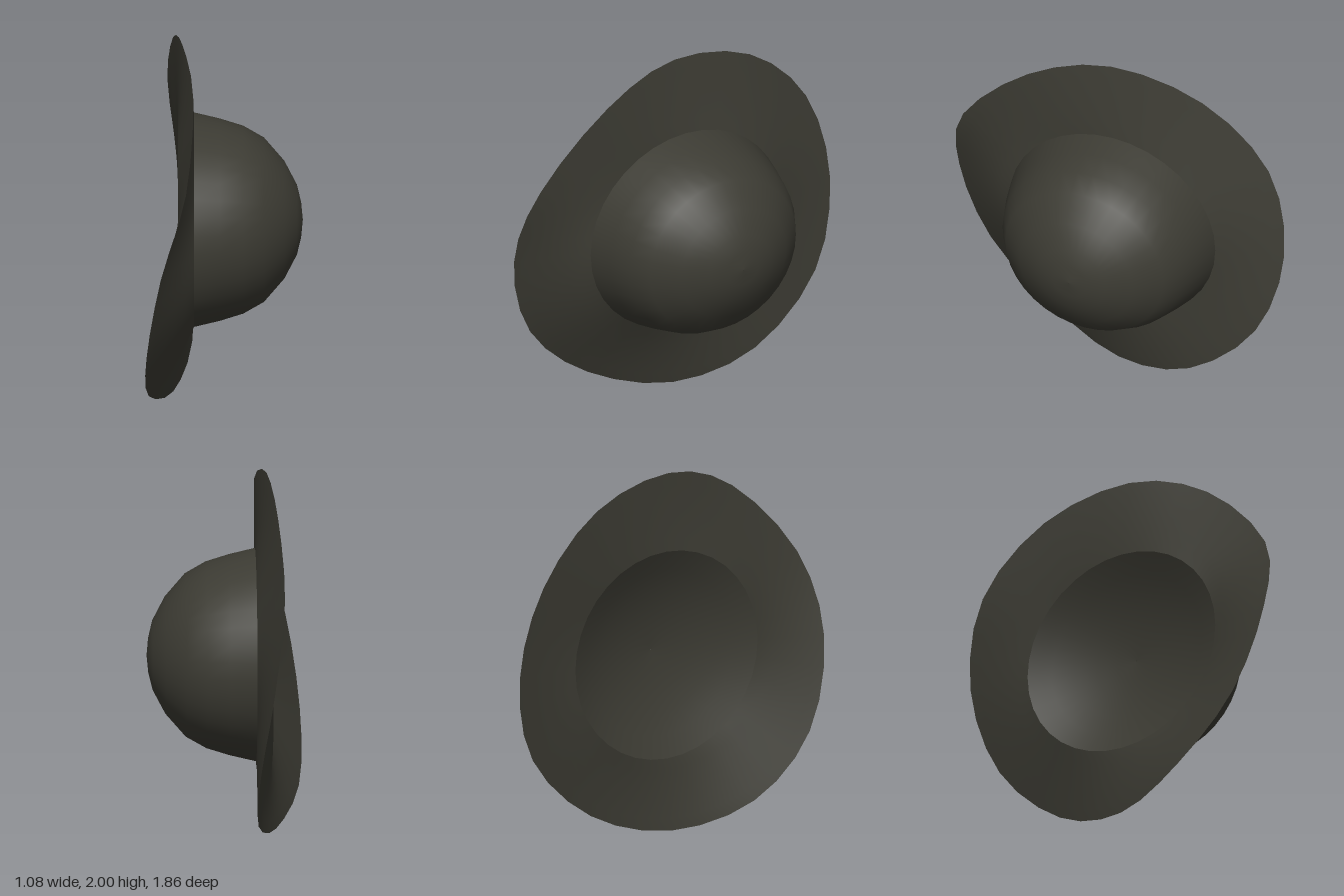
import * as THREE from 'three';

const SIDES = 36;
const centre = new THREE.Vector3(-0.045, 0.985, -0.06); // middle of the crown's base
const across = new THREE.Vector3(0.387, 0, 0.922);
const axis = new THREE.Vector3(0.922, 0, -0.387); // from the opening to the top of the crown
const BASE = 0.613;
const BASE_HEIGHT = -0.012;
const OPENING_HEIGHT = -0.1;

// Elliptical ring round the hat's axis
function ring(radius, height) {
  return Array.from({ length: SIDES }, (_, i) => {
    const a = (i / SIDES) * Math.PI * 2;
    const p = centre.clone().addScaledVector(across, radius * Math.cos(a)).addScaledVector(axis, height);
    p.y += radius * 0.95 * Math.sin(a);
    return p;
  });
}

// Surface through a list of rings
function loft(rings) {
  const index = [];
  for (let k = 0; k < rings.length - 1; k++) {
    for (let i = 0; i < SIDES; i++) {
      const j = (i + 1) % SIDES;
      const a = k * SIDES + i, b = k * SIDES + j;
      index.push(a, b, a + SIDES, b, b + SIDES, a + SIDES);
    }
  }
  const geometry = new THREE.BufferGeometry().setFromPoints(rings.flat());
  geometry.setIndex(index);
  geometry.computeVertexNormals();
  return geometry;
}

// Rings spaced evenly from an inner ring out to the brim's edge
function spread(inner, outer, rows = 6) {
  return Array.from({ length: rows + 1 }, (_, k) =>
    inner.map((p, i) => p.clone().lerp(outer[i], k / rows)));
}

export function createModel() {
  const hat = new THREE.Group();
  hat.name = 'hat';
  const felt = new THREE.MeshStandardMaterial({ color: 0x3c3b33, side: THREE.DoubleSide });
  felt.name = 'dark felt';
  const add = (name, rings) => {
    const mesh = new THREE.Mesh(loft(rings), felt);
    mesh.name = name;
    hat.add(mesh);
  };

  // Domed crown: radius, height
  const profile = [[0.002, 0.582], [0.1, 0.573], [0.2, 0.55], [0.337, 0.481], [0.47, 0.37],
    [0.537, 0.257], [0.578, 0.13], [BASE, BASE_HEIGHT]];
  add('crown', profile.map(([r, h]) => ring(r, h)));

  // Dished lining across the opening
  const lining = [1, 0.8, 0.6, 0.4, 0.2, 0.004].map((t) =>
    ring(BASE * t, OPENING_HEIGHT + 0.15 * (1 - t * t)));
  add('lining', lining);

  // Wavy edge of the brim
  const edge = new THREE.CatmullRomCurve3([
    [0.16, 0.97, 0.93], [0.255, 1.43, 0.8], [0.135, 1.85, 0.41], [-0.1, 2, 0],
    [-0.35, 1.87, -0.46], [-0.525, 1.5, -0.8], [-0.518, 1, -0.93], [-0.395, 0.5, -0.83],
    [-0.24, 0.13, -0.47], [-0.155, 0, 0], [-0.1, 0.13, 0.48], [0.03, 0.47, 0.82],
  ].map((p) => new THREE.Vector3(...p)), true, 'catmullrom', 0.5);
  const rim = Array.from({ length: SIDES }, (_, i) => edge.getPoint(i / SIDES));

  // Brim, thick at the crown and tapering to its edge
  add('brimTop', spread(ring(BASE, BASE_HEIGHT), rim));
  add('brimUnderside', spread(ring(BASE, OPENING_HEIGHT), rim).reverse());
  return hat;
}
